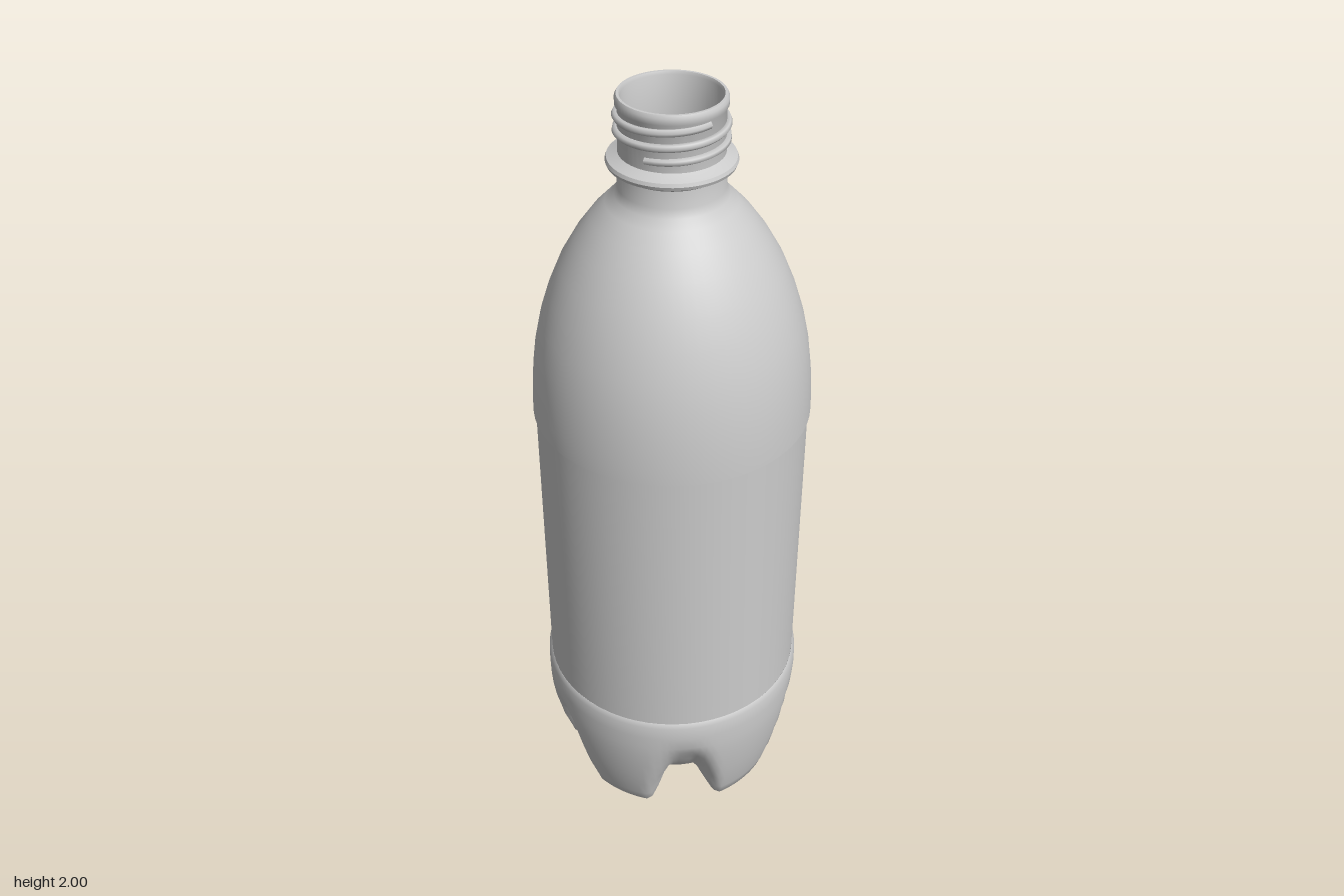
import * as THREE from 'three';
import { mergeVertices, toCreasedNormals } from 'three/addons/utils/BufferGeometryUtils.js';

const SEGMENTS = 60;
const material = new THREE.MeshStandardMaterial({ color: 0xcccccc, side: THREE.DoubleSide });

function addMesh(group, name, geometry) {
  const mesh = new THREE.Mesh(geometry, material);
  mesh.name = name;
  group.add(mesh);
}

// Turned part from [radius, height] pairs, listed bottom to top
function turned(profile) {
  const points = profile.map(([r, y]) => new THREE.Vector2(r, y));
  return toCreasedNormals(new THREE.LatheGeometry(points, SEGMENTS), 0.6);
}

// Five-footed base: every row blends from a foot profile to a groove profile around the axis
function petalBase() {
  // [foot radius, foot height, groove radius, groove height, groove half-width in degrees]
  const rows = [
    [0.000, 0.070, 0.000, 0.070, 15],
    [0.080, 0.066, 0.080, 0.069, 15],
    [0.140, 0.050, 0.140, 0.068, 15],
    [0.180, 0.020, 0.170, 0.068, 15],
    [0.205, 0.004, 0.190, 0.070, 15],
    [0.235, 0.000, 0.205, 0.075, 15],
    [0.270, 0.000, 0.220, 0.085, 15],
    [0.288, 0.010, 0.232, 0.100, 14.5],
    [0.300, 0.045, 0.245, 0.120, 14],
    [0.315, 0.100, 0.267, 0.150, 12.5],
    [0.326, 0.150, 0.288, 0.185, 11],
    [0.335, 0.200, 0.308, 0.220, 9.5],
    [0.342, 0.250, 0.328, 0.256, 8],
    [0.345, 0.290, 0.343, 0.290, 7],
    [0.346, 0.330, 0.346, 0.330, 7],
    [0.345, 0.370, 0.345, 0.370, 7],
    [0.337, 0.382, 0.337, 0.382, 7],
  ];
  const geometry = new THREE.LatheGeometry(rows.map(() => new THREE.Vector2(1, 0)), 120);
  const position = geometry.attributes.position;
  for (let i = 0; i < position.count; i++) {
    const [footR, footY, grooveR, grooveY, width] = rows[i % rows.length];
    const degrees = Math.floor(i / rows.length) * 3;
    const fromGroove = Math.abs((degrees % 72) - 36);
    const groove = 1 - THREE.MathUtils.smoothstep(fromGroove, width - 6, width + 6);
    const r = THREE.MathUtils.lerp(footR, grooveR, groove);
    const y = THREE.MathUtils.lerp(footY, grooveY, groove);
    const phi = THREE.MathUtils.degToRad(degrees);
    position.setXYZ(i, r * Math.sin(phi), y, r * Math.cos(phi));
  }
  geometry.deleteAttribute('normal');
  geometry.deleteAttribute('uv');
  const merged = mergeVertices(geometry, 1e-5);
  merged.computeVertexNormals();
  return merged;
}

// Helical screw thread around the neck
function screwThread() {
  const points = [];
  const turns = 2.2;
  for (let i = 0; i <= 66; i++) {
    const t = i / 66;
    const angle = t * turns * Math.PI * 2;
    const radius = 0.119 + 0.004 * Math.min(1, 8 * t, 8 * (1 - t));
    points.push(new THREE.Vector3(radius * Math.sin(angle), 1.89 + 0.075 * t, radius * Math.cos(angle)));
  }
  return new THREE.TubeGeometry(new THREE.CatmullRomCurve3(points), 132, 0.009, 6);
}

export function createModel() {
  const bottle = new THREE.Group();
  bottle.name = 'bottle';

  addMesh(bottle, 'footedBase', petalBase());

  // Straight wall, slightly recessed between base and shoulder
  addMesh(bottle, 'labelPanel', turned([[0.337, 0.382], [0.337, 1.188]]));

  // Domed shoulder rising into the neck
  addMesh(bottle, 'shoulder', turned([
    [0.337, 1.188], [0.343, 1.192], [0.342, 1.24], [0.337, 1.31], [0.328, 1.38],
    [0.313, 1.45], [0.291, 1.52], [0.262, 1.59], [0.225, 1.655], [0.185, 1.71],
    [0.152, 1.745], [0.132, 1.765], [0.124, 1.785], [0.122, 1.84],
  ]));

  // Carrying ring below the thread
  addMesh(bottle, 'neckRing', turned([
    [0.121, 1.825], [0.132, 1.834], [0.146, 1.840], [0.149, 1.848],
    [0.146, 1.856], [0.132, 1.862], [0.121, 1.868],
  ]));

  // Mouth with outer wall, rim and inner wall
  addMesh(bottle, 'mouth', turned([
    [0.121, 1.84], [0.120, 1.97], [0.125, 1.978], [0.125, 1.993], [0.121, 2.0],
    [0.115, 2.0], [0.112, 1.993], [0.112, 1.84], [0.121, 1.78],
  ]));
  addMesh(bottle, 'screwThread', screwThread());

  return bottle;
}
